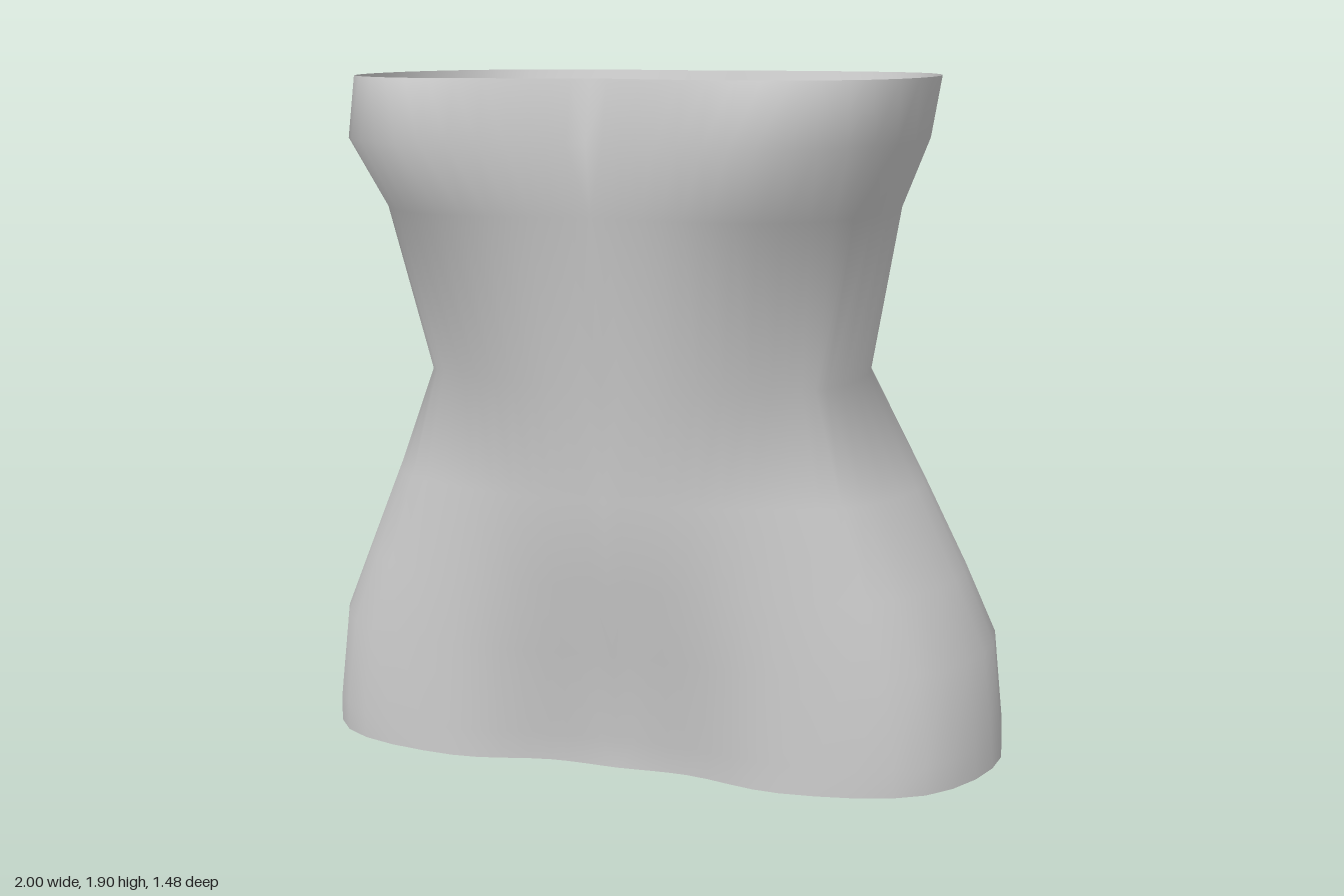
import * as THREE from 'three';

// Landmarks by height: z at the centre lines, [x, z] for the others (left half)
const sections = [
  { y: 0.01, back: -.61, seat: [.24, -.68], rear: [.76, -.52], side: [1, -.03], corner: [.86, .34], thigh: [.48, .45], inner: [.2, .395], front: .4 },
  { y: 0.09, back: -.64, seat: [.24, -.74], rear: [.78, -.53], side: [.995, -.03], corner: [.86, .34], thigh: [.48, .45], inner: [.2, .4], front: .4 },
  { y: 0.34, back: -.68, seat: [.24, -.72], rear: [.75, -.53], side: [.97, -.03], corner: [.83, .34], thigh: [.46, .455], inner: [.2, .44], front: .43 },
  { y: 0.54, back: -.6, seat: [.23, -.62], rear: [.69, -.45], side: [.885, -.02], corner: [.76, .33], thigh: [.46, .455], inner: [.2, .475], front: .47 },
  { y: 0.79, back: -.455, seat: [.21, -.47], rear: [.6, -.35], side: [.77, 0], corner: [.67, .33], thigh: [.45, .445], inner: [.2, .505], front: .505 },
  { y: 1.1, back: -.32, seat: [.18, -.35], rear: [.49, -.26], side: [.61, 0], corner: [.57, .33], thigh: [.44, .42], inner: [.2, .51], front: .515 },
  { y: 1.56, back: -.34, seat: [.22, -.365], rear: [.55, -.28], side: [.69, 0], corner: [.655, .42], thigh: [.46, .62], inner: [.2, .63], front: .59 },
  { y: 1.75, back: -.39, seat: [.25, -.425], rear: [.61, -.33], side: [.765, 0], corner: [.725, .51], thigh: [.48, .735], inner: [.2, .675], front: .62 },
  { y: 1.915, back: -.44, seat: [.28, -.48], rear: [.65, -.36], side: [.79, 0], corner: [.72, .48], thigh: [.48, .67], inner: [.2, .64], front: .58 },
];

// Curve through the landmarks, then mirror it into a closed outline
function outline({ y, back, seat, rear, side, corner, thigh, inner, front }) {
  const marks = [[0, back], seat, rear, side, corner, thigh, inner, [0, front]];
  const curve = new THREE.CatmullRomCurve3(marks.map(([x, z]) => new THREE.Vector3(x, y, z)));
  const half = curve.getPoints(28);
  const mirrored = half.slice(1, -1).reverse().map((v) => new THREE.Vector3(-v.x, v.y, v.z));
  return [...half, ...mirrored];
}

// Skin the stack of outlines with one smooth open shell
function loft(rings) {
  const n = rings[0].length;
  const indices = [];
  for (let r = 0; r < rings.length - 1; r++) {
    for (let i = 0; i < n; i++) {
      const a = r * n + i, b = r * n + (i + 1) % n;
      // Mirror the diagonals so both sides match
      if (i < n / 2) indices.push(a, a + n, b, b, a + n, b + n);
      else indices.push(a, a + n, b + n, a, b + n, b);
    }
  }
  const geometry = new THREE.BufferGeometry().setFromPoints(rings.flat());
  geometry.setIndex(indices);
  geometry.computeVertexNormals();
  return geometry;
}

export function createModel() {
  const group = new THREE.Group();
  group.name = 'torsoGarment';
  const fabric = new THREE.MeshStandardMaterial({ color: 0xcccccc, side: THREE.DoubleSide });
  fabric.name = 'light grey fabric';

  // Fitted bodice, open at the top and the hem
  const shell = new THREE.Mesh(loft(sections.map(outline)), fabric);
  shell.name = 'bodiceShell';
  group.add(shell);
  return group;
}
